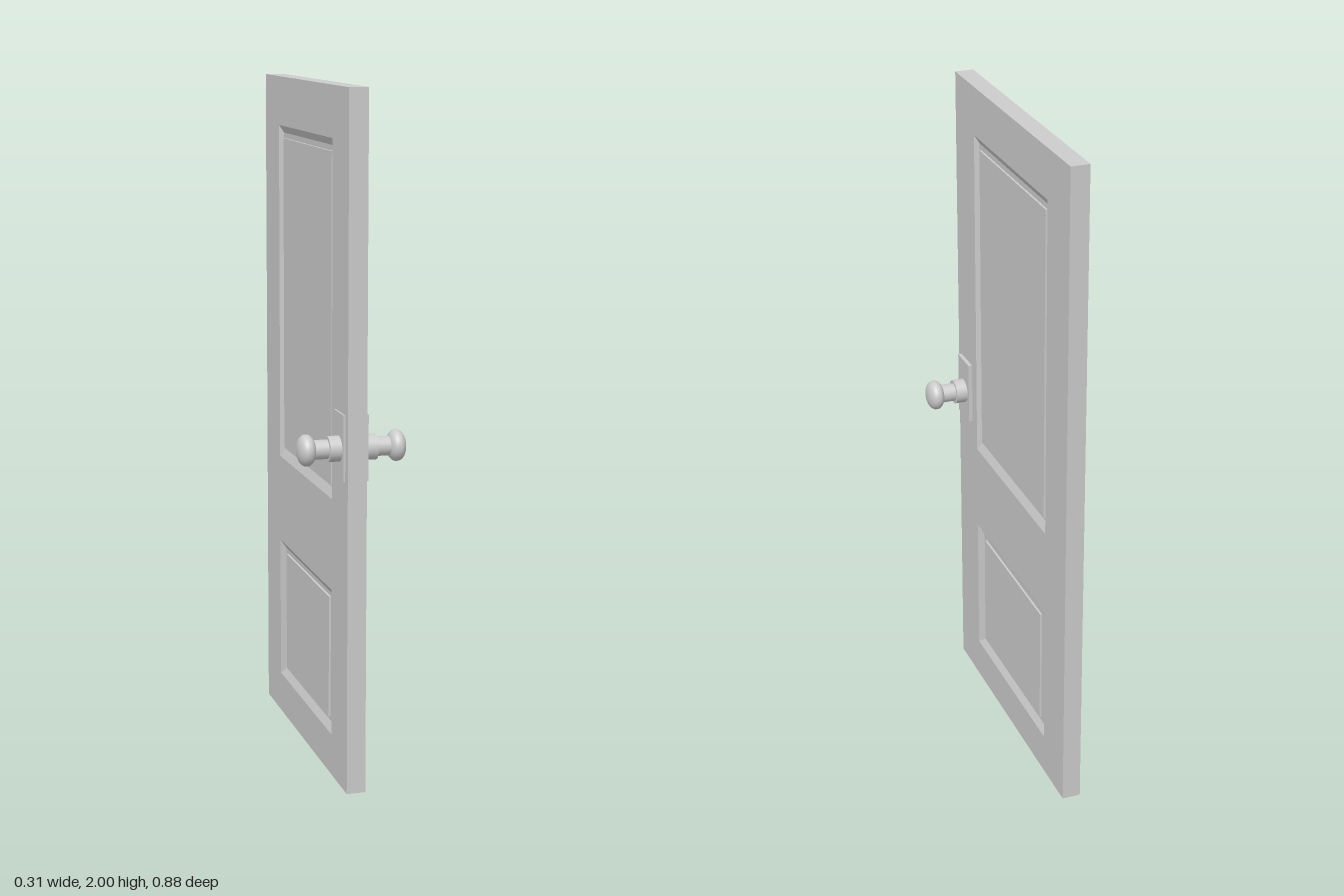
import * as THREE from 'three';

const mat = new THREE.MeshStandardMaterial({ color: 0xcccccc });
const FRONT = 0.0245, BACK = -0.031; // x of the two door faces
const KNOB_Z = 0.371, KNOB_Y = 1.0;

const add = (group, geometry, name) => {
  const mesh = new THREE.Mesh(geometry, mat);
  mesh.name = name;
  group.add(mesh);
  return mesh;
};

// Rectangle: half width, bottom, top, depth
const rect = (w, y0, y1, z) => [[-w, y0, z], [w, y0, z], [w, y1, z], [-w, y1, z]];

// Bands of quads between successive rectangles, optionally closed by the last one
function nested(rects, cap) {
  const pos = [];
  const quad = (a, b, c, d) => pos.push(...a, ...b, ...c, ...a, ...c, ...d);
  for (let k = 0; k < rects.length - 1; k++) {
    for (let i = 0; i < 4; i++) {
      const j = (i + 1) % 4;
      quad(rects[k][i], rects[k][j], rects[k + 1][j], rects[k + 1][i]);
    }
  }
  if (cap) quad(...rects[rects.length - 1]);
  const g = new THREE.BufferGeometry();
  g.setAttribute('position', new THREE.Float32BufferAttribute(pos, 3));
  g.computeVertexNormals();
  return g;
}

// Panels: outer edge of moulding, foot of moulding, edge of raised field
const PANELS = [
  { name: 'upperPanel', steps: [[0.286, 0.833, 1.855], [0.271, 0.86, 1.833], [0.258, 0.87, 1.817]] },
  { name: 'lowerPanel', steps: [[0.286, 0.124, 0.563], [0.257, 0.148, 0.542], [0.236, 0.161, 0.529]] },
];

// One door face in local coordinates, looking along +z
function doorFace(name) {
  const face = new THREE.Group();
  face.name = name;
  const outline = (w, y0, y1, Type) =>
    new Type(rect(w, y0, y1, 0).map(p => new THREE.Vector2(p[0], p[1])));
  const shape = outline(0.442, 0, 2, THREE.Shape);
  for (const { steps } of PANELS) shape.holes.push(outline(...steps[0], THREE.Path));
  add(face, new THREE.ShapeGeometry(shape), 'frame');
  for (const { name: panelName, steps: [a, b, c] } of PANELS) {
    add(face, nested([
      rect(...a, 0), rect(...b, -0.012), rect(...c, -0.012), rect(...c, -0.006),
    ], true), panelName);
  }
  return face;
}

// Plate, rose, neck and knob, standing out along local +z from the door face
function handle(name, face) {
  const g = new THREE.Group();
  g.name = name;
  const plateTop = 0.036;
  const plate = add(g, new THREE.BoxGeometry(0.094, 0.19, plateTop - face), 'plate');
  plate.position.set(0, 0.008, (plateTop + face) / 2);
  const round = (geometry, part, z) => {
    const m = add(g, geometry, part);
    m.rotation.x = Math.PI / 2;
    m.position.z = z;
  };
  round(new THREE.CylinderGeometry(0.0365, 0.0365, 0.034, 24), 'rose', 0.053);
  round(new THREE.CylinderGeometry(0.0275, 0.0275, 0.042, 24), 'neck', 0.09);
  // Flattened, slightly squarish knob
  const profile = [];
  for (let i = 0; i <= 20; i++) {
    const t = -Math.PI / 2 + (Math.PI * i) / 20;
    const r = i % 20 === 0 ? 0 : 0.045 * Math.cos(t) ** 0.9;
    profile.push(new THREE.Vector2(r, 0.026 * Math.sign(t) * Math.abs(Math.sin(t)) ** 0.9));
  }
  round(new THREE.LatheGeometry(profile, 32), 'knob', 0.131);
  return g;
}

export function createModel() {
  const door = new THREE.Group();
  door.name = 'door';

  // Narrow edges all round the slab
  const edges = add(door, nested([rect(0.442, 0, 2, BACK), rect(0.442, 0, 2, FRONT)], false), 'slabEdges');
  edges.rotation.y = Math.PI / 2;

  // Both panelled faces with their handles
  for (const [side, label, x] of [[1, 'left', FRONT], [-1, 'right', BACK]]) {
    const face = doorFace(label + 'Face');
    face.rotation.y = (side * Math.PI) / 2;
    face.position.x = x;
    const knob = handle(label + 'Handle', Math.abs(x));
    knob.rotation.y = (side * Math.PI) / 2;
    knob.position.set(0, KNOB_Y, KNOB_Z + side * 0.001);
    door.add(face, knob);
  }
  return door;
}
